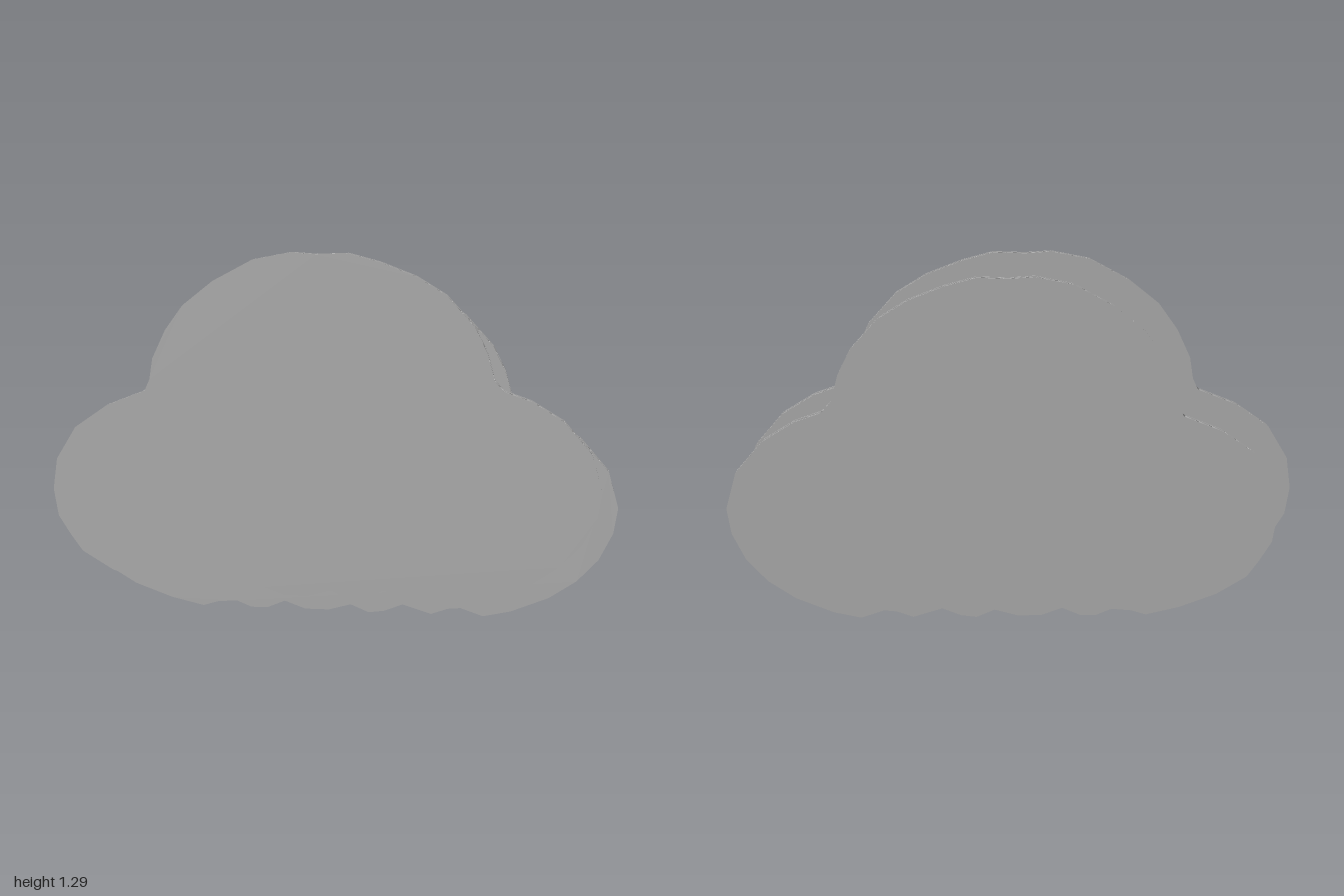
import * as THREE from 'three';

// Cloud outline, clockwise from the left tip
const outline = [
  [-1, .445], [-.985, .555], [-.915, .67], [-.8, .75], [-.66, .805], [-.642, .845],
  [-.63, .92], [-.583, 1.02], [-.52, 1.107], [-.412, 1.193], [-.273, 1.267], [-.14, 1.293],
  [-.05, 1.287], [.06, 1.291], [.17, 1.262], [.295, 1.214], [.4, 1.15], [.497, 1.043],
  [.54, .957], [.567, .86], [.6, .823], [.695, .79], [.807, .722], [.904, .61],
  [.94, .48], [.925, .39], [.877, .294], [.802, .214], [.706, .15], [.572, .096],
  [.475, .075], [.395, .102], [.35, .098], [.29, .077], [.187, .108], [.12, .082],
  [.065, .075], [0, .102], [-.08, .08], [-.165, .08], [-.24, .107], [-.305, .08],
  [-.363, .08], [-.417, .102], [-.487, .096], [-.54, .08], [-.658, .107], [-.79, .155],
  [-.898, .22], [-.94, .278], [-.984, .348],
].map(([x, y]) => new THREE.Vector2(x, y));

const Z_IN = .031, Z_OUT = .0715, LINER = .006;

// Offsets a closed clockwise loop inwards
function inset(points, d) {
  const n = points.length;
  return points.map((p, i) => {
    const t = points[(i + 1) % n].clone().sub(points[(i + n - 1) % n]).normalize();
    return new THREE.Vector2(p.x + t.y * d, p.y - t.x * d);
  });
}

function slab(points, z0, z1) {
  const g = new THREE.ExtrudeGeometry(new THREE.Shape(points), { depth: z1 - z0, bevelEnabled: false });
  return g.translate(0, 0, z0);
}

// Zigzag ribbon running round the rim between the two liners
function fluteGeometry(z0, z1) {
  const path = new THREE.CurvePath();
  outline.forEach((p, i) => path.add(new THREE.LineCurve(p, outline[(i + 1) % outline.length])));
  const count = 2 * Math.round(path.getLength() / .05);
  const loop = [];
  for (let i = 0; i < count; i++) loop.push(path.getPointAt(i / count));
  const outer = inset(loop, .001), inner = inset(loop, .016);
  const half = .0025, pos = [], index = [];
  for (let i = 0; i < count; i++) {
    const z = i % 2 ? z1 - half : z0 + half;
    const o = outer[i], n = inner[i];
    pos.push(o.x, o.y, z - half, o.x, o.y, z + half, n.x, n.y, z + half, n.x, n.y, z - half);
    const a = i * 4, b = ((i + 1) % count) * 4;
    for (let k = 0; k < 4; k++) {
      const m = (k + 1) % 4;
      index.push(a + k, a + m, b + m, a + k, b + m, b + k);
    }
  }
  const g = new THREE.BufferGeometry();
  g.setAttribute('position', new THREE.Float32BufferAttribute(pos, 3));
  g.setIndex(index);
  const flat = g.toNonIndexed();
  flat.computeVertexNormals();
  return flat;
}

export function createModel() {
  const model = new THREE.Group();
  model.name = 'layeredCloud';
  const grey = new THREE.MeshStandardMaterial({ color: 0xb0b0b0, side: THREE.DoubleSide });
  grey.name = 'cardboard grey';
  const add = (parent, name, geometry) => {
    const mesh = new THREE.Mesh(geometry, grey);
    mesh.name = name;
    parent.add(mesh);
    return mesh;
  };

  // One corrugated cloud panel: two liners, a recessed core and the flute
  function panel(name, z0, z1) {
    const group = new THREE.Group();
    group.name = name;
    add(group, 'rearLiner', slab(outline, z0, z0 + LINER));
    add(group, 'frontLiner', slab(outline, z1 - LINER, z1));
    add(group, 'core', slab(inset(outline, .012), z0 + LINER, z1 - LINER));
    add(group, 'flute', fluteGeometry(z0 + LINER, z1 - LINER));
    model.add(group);
    return group;
  }
  panel('frontCloud', Z_IN, Z_OUT);
  panel('backCloud', -Z_OUT, -Z_IN).position.set(.06, -.075, 0);

  // Round spacers joining the panels
  const spacers = [['rightSpacer', -.442, .615, .175], ['middleSpacer', -.015, .652, .263], ['leftSpacer', .428, .615, .175]];
  for (const [name, x, y, r] of spacers) {
    const disc = new THREE.CylinderGeometry(r, r, 2 * Z_IN, 48).rotateX(Math.PI / 2);
    add(model, name, disc).position.set(x, y, 0);
  }
  return model;
}
